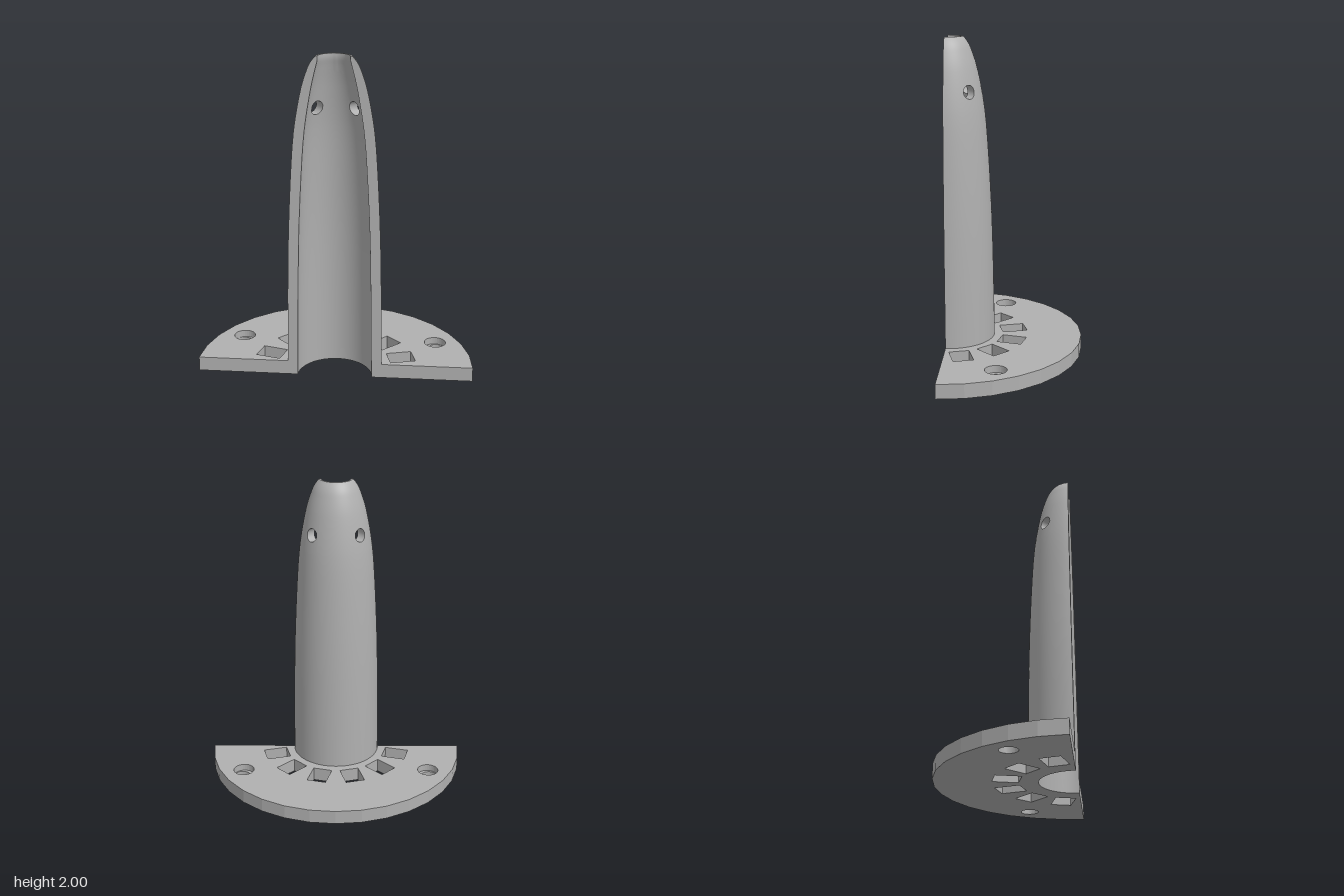
import * as THREE from 'three';
import { mergeGeometries, toCreasedNormals } from 'three/addons/utils/BufferGeometryUtils.js';

const AXIS_Z = 0.425; // the cut plane, which holds the axis of the half shell
const BASE_H = 0.09;
const RAD = Math.PI / 180;
const V2 = (x, y) => new THREE.Vector2(x, y);

// Radius as a function of height, from a few profile points [y, r]
function profile(points) {
  const dense = new THREE.SplineCurve(points.map(([y, r]) => V2(y, r))).getPoints(400);
  return (y) => {
    let i = 1;
    while (i < dense.length - 1 && dense[i].x < y) i++;
    const a = dense[i - 1], b = dense[i];
    const t = THREE.MathUtils.clamp((y - a.x) / (b.x - a.x), 0, 1);
    return a.y + (b.y - a.y) * t;
  };
}
const outerR = profile([[0, 0.291], [0.6, 0.283], [1, 0.271], [1.4, 0.249], [1.6, 0.229],
  [1.8, 0.192], [1.92, 0.155], [1.97, 0.13], [2, 0.105]]);
const innerR = profile([[0, 0.229], [0.6, 0.22], [1, 0.209], [1.4, 0.187], [1.6, 0.168],
  [1.8, 0.135], [1.92, 0.108], [1.97, 0.095], [2, 0.094]]);

const polar = (r, a, y) => [r * Math.cos(a), y, AXIS_Z - r * Math.sin(a)];

// Surface patch from a rule p(u, v), u and v running 0..1
function patch(p, nu, nv, flip = false) {
  const pos = [], idx = [];
  for (let j = 0; j <= nv; j++) for (let i = 0; i <= nu; i++) pos.push(...p(i / nu, j / nv));
  for (let j = 0; j < nv; j++) for (let i = 0; i < nu; i++) {
    const a = j * (nu + 1) + i, b = a + 1, c = a + nu + 1, d = c + 1;
    if (flip) idx.push(a, d, b, a, c, d);
    else idx.push(a, b, d, a, d, c);
  }
  const g = new THREE.BufferGeometry();
  g.setAttribute('position', new THREE.Float32BufferAttribute(pos, 3));
  g.setIndex(idx);
  return g;
}

function shellGeometry() {
  const parts = [];
  const lerp = THREE.MathUtils.lerp;
  const Y0 = 1.55, Y1 = 1.8, HOLE_Y = 1.675, HOLE_R = 0.042;

  // Bands of the wall: [angle from, angle to, y from, y to, rows]
  const bands = [[0, 180, 0, Y0, 18], [0, 180, Y1, 2, 14],
    [0, 30, Y0, Y1, 6], [60, 120, Y0, Y1, 6], [150, 180, Y0, Y1, 6]];
  for (const [r, flip] of [[outerR, false], [innerR, true]]) {
    for (const [a0, a1, y0, y1, rows] of bands) {
      parts.push(patch((u, v) => {
        const y = lerp(y0, y1, v);
        return polar(r(y), lerp(a0, a1, u) * RAD, y);
      }, (a1 - a0) / 5, rows, flip));
    }
  }

  // Square windows of wall, each blending into a round side hole
  for (const deg of [45, 135]) {
    const square = (u) => {
      const k = Math.round(u * 24) % 24, s = (k % 6) / 3 - 1;
      return [[s, -1], [1, s], [-s, 1], [-1, -s]][Math.floor(k / 6)];
    };
    const ring = (r, u, v) => {
      const [sx, sy] = square(u), len = Math.hypot(sx, sy);
      const cy = HOLE_Y + HOLE_R * sy / len;
      const ca = deg * RAD + Math.asin(HOLE_R * sx / len / r(cy));
      const y = lerp(HOLE_Y + 0.125 * sy, cy, v);
      return polar(r(y), lerp((deg + 15 * sx) * RAD, ca, v), y);
    };
    parts.push(patch((u, v) => ring(outerR, u, v), 24, 4));
    parts.push(patch((u, v) => ring(innerR, u, v), 24, 4, true));
    parts.push(patch((u, v) => ring(outerR, u, 1).map((c, i) => lerp(c, ring(innerR, u, 1)[i], v)), 24, 1));
  }

  // Top rim and bottom ring
  for (const [y, flip] of [[2, false], [0, true]]) {
    parts.push(patch((u, v) => polar(lerp(outerR(y), innerR(y), v), u * Math.PI, y), 36, 1, flip));
  }
  // Flat cut faces on both sides
  for (const [a, flip] of [[0, false], [Math.PI, true]]) {
    for (const [y0, y1, rows] of [[0, Y0, 18], [Y0, Y1, 6], [Y1, 2, 14]]) {
      parts.push(patch((u, v) => {
        const y = lerp(y0, y1, v);
        return polar(lerp(innerR(y), outerR(y), u), a, y);
      }, 1, rows, flip));
    }
  }
  return toCreasedNormals(mergeGeometries(parts), 35 * RAD);
}

// Half disc with slots and bolt holes; local y points to the back
function baseLayer(height, boltX, boltY, boltR) {
  const arc = (r, n) => Array.from({ length: n + 1 }, (_, i) =>
    V2(r * Math.cos(i / n * Math.PI), r * Math.sin(i / n * Math.PI)));
  const shape = new THREE.Shape([...arc(0.85, 16), ...arc(0.284, 36).reverse()]);

  // Ring of six rectangular slots
  for (let i = 0; i < 6; i++) {
    const a = (15 + 30 * i) * RAD;
    shape.holes.push(new THREE.Path([[-1, -1], [-1, 1], [1, 1], [1, -1]].map(([s, t]) =>
      V2(0.42 + 0.079 * s, 0.063 * t).rotateAround(V2(0, 0), a))));
  }
  // Bolt holes
  for (const side of [-1, 1]) {
    const hole = new THREE.Path();
    hole.absarc(side * boltX, boltY, boltR, 0, Math.PI * 2, true);
    shape.holes.push(hole);
  }
  const g = new THREE.ExtrudeGeometry(shape, { depth: height, bevelEnabled: false, curveSegments: 16 });
  return g.rotateX(-Math.PI / 2).translate(0, 0, AXIS_Z);
}

export function createModel() {
  const grey = new THREE.MeshStandardMaterial({ color: 0xb0b0b0 });
  grey.name = 'plain grey';
  const model = new THREE.Group();
  model.name = 'halfShellOnFlange';

  const add = (name, geometry, parent = model) => {
    const mesh = new THREE.Mesh(geometry, grey);
    mesh.name = name;
    parent.add(mesh);
    return mesh;
  };

  add('shell', shellGeometry());

  // Flange in two layers, so the bolt holes have a step
  const flange = new THREE.Group();
  flange.name = 'flange';
  model.add(flange);
  add('flangeLower', baseLayer(BASE_H / 2, 0.63, 0.338, 0.055), flange);
  add('flangeUpper', baseLayer(BASE_H / 2, 0.618, 0.334, 0.068), flange).position.y = BASE_H / 2;

  return model;
}
